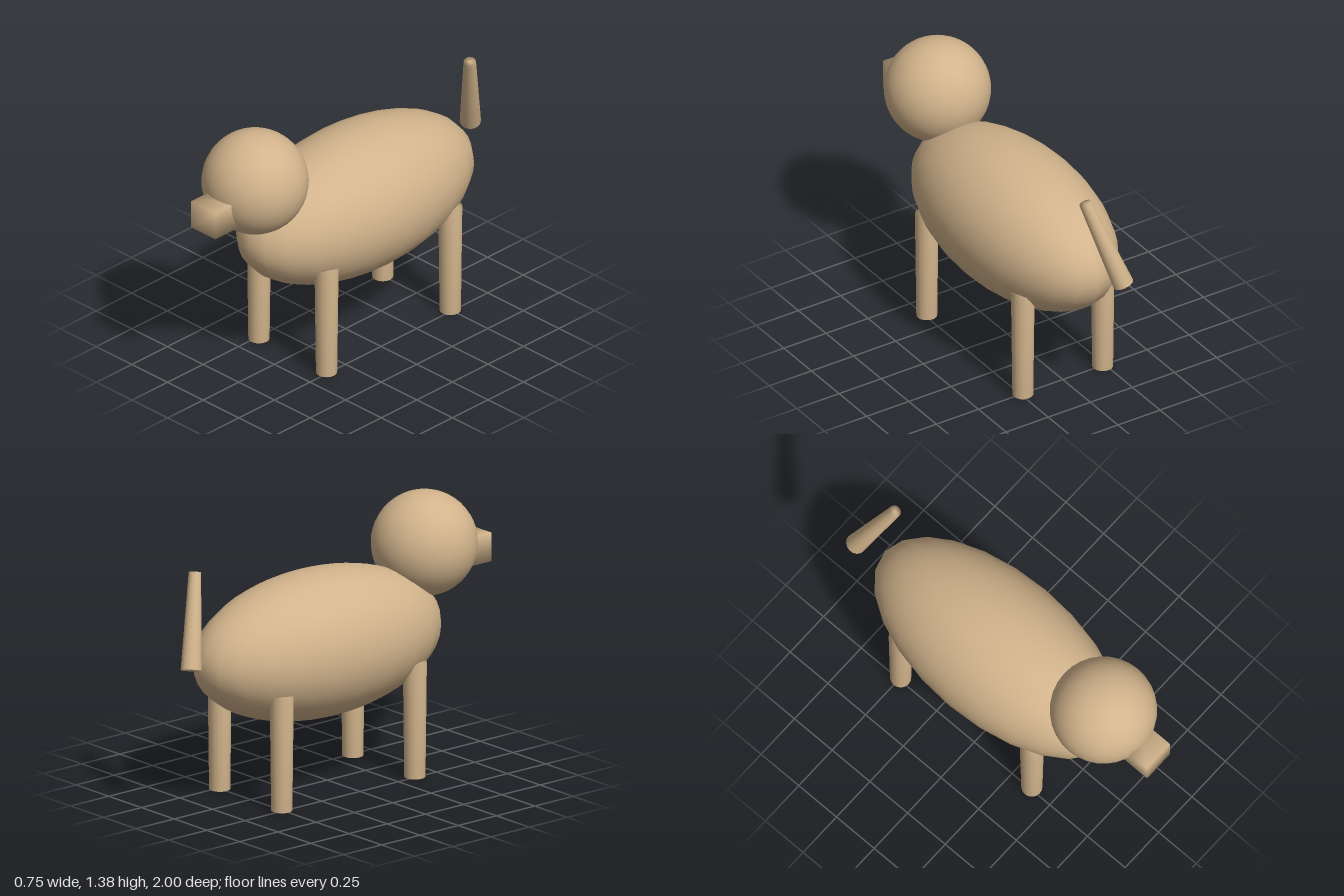
import * as THREE from 'three';
import { mergeVertices } from 'three/addons/utils/BufferGeometryUtils.js';

// Weld corners so shading flows smoothly over every edge
function smooth(geometry) {
  geometry.deleteAttribute('normal');
  geometry.deleteAttribute('uv');
  const welded = mergeVertices(geometry, 1e-4);
  welded.computeVertexNormals();
  return welded;
}

export function createModel() {
  const model = new THREE.Group();
  model.name = 'dog';
  const fur = new THREE.MeshStandardMaterial({ color: 0xd2b48c });
  fur.name = 'tan fur';

  function add(name, geometry, x, y, z) {
    const mesh = new THREE.Mesh(geometry, fur);
    mesh.name = name;
    mesh.position.set(x, y, z);
    model.add(mesh);
    return mesh;
  }

  // Long egg-shaped body
  add('body', new THREE.SphereGeometry(0.374, 24, 24).scale(1, 1, 2.01), 0, 0.731, -0.067);

  // Head and boxy snout
  add('head', new THREE.SphereGeometry(0.267, 32, 24), 0, 1.108, 0.635);
  add('snout', smooth(new THREE.BoxGeometry(0.171, 0.149, 0.2)), 0, 1.031, 0.9);

  // Four tapered legs
  const legGeometry = smooth(new THREE.CylinderGeometry(0.06, 0.053, 0.597, 16));
  for (const [end, z] of [['front', 0.37], ['back', -0.5]]) {
    for (const [side, x] of [['Left', 0.237], ['Right', -0.237]]) {
      add(end + side + 'Leg', legGeometry, x, 0.2985, z);
    }
  }

  // Tapered tail, leaning forwards and to the side
  const base = new THREE.Vector3(-0.068, 0.778, -0.947);
  const tip = new THREE.Vector3(0.068, 1.228, -0.807);
  const along = tip.clone().sub(base);
  const middle = base.clone().add(tip).multiplyScalar(0.5);
  const tail = add('tail', smooth(new THREE.CylinderGeometry(0.031, 0.053, along.length(), 16)), middle.x, middle.y, middle.z);
  tail.quaternion.setFromUnitVectors(new THREE.Vector3(0, 1, 0), along.normalize());

  return model;
}
